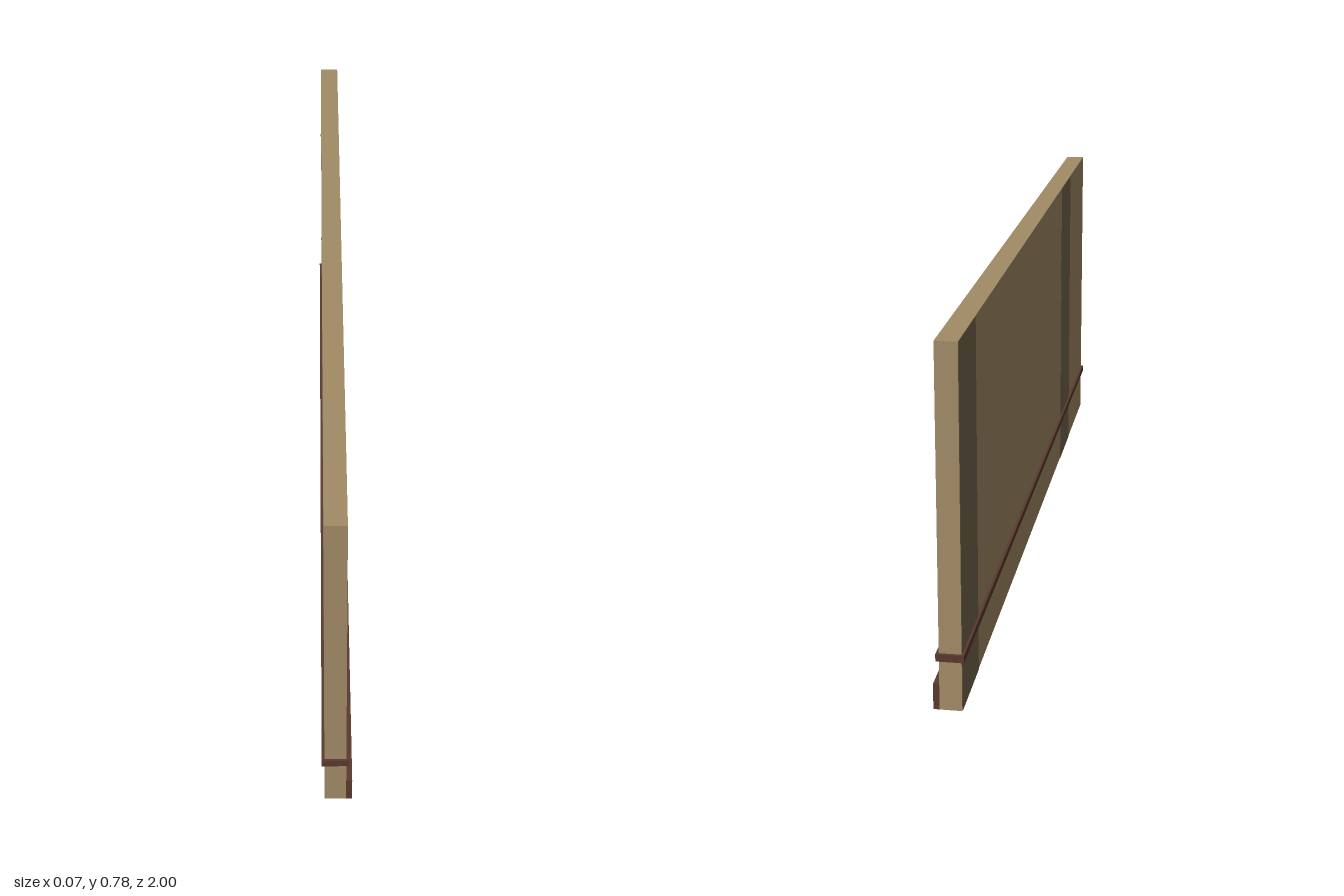
import * as THREE from 'three';

const HEIGHT = 0.783;
const BACK = -0.028, FACE = 0.019, END = 0.994;

export function createModel() {
  const model = new THREE.Group();
  model.name = 'wallPanel';

  const mat = (name, color) => {
    const m = new THREE.MeshStandardMaterial({ color });
    m.name = name;
    return m;
  };
  const plaster = mat('tan plaster', 0xa38c67);
  const stain = mat('dark stained plaster', 0x76654b);
  const wood = mat('dark brown wood', 0x5a392e);

  // Box given by its lower and upper limits, symmetric in z
  function slab(name, x0, x1, y0, y1, halfZ, material) {
    const mesh = new THREE.Mesh(new THREE.BoxGeometry(x1 - x0, y1 - y0, halfZ * 2), material);
    mesh.position.set((x0 + x1) / 2, (y0 + y1) / 2, 0);
    mesh.name = name;
    model.add(mesh);
  }

  slab('wall', BACK, FACE, 0, HEIGHT, END, plaster);
  slab('skirtingBoard', FACE, 0.032, 0, 0.057, END, wood);
  // The rail wraps right round the wall
  slab('wallRail', -0.034, 0.025, 0.111, 0.127, 1, wood);

  // Vertical stain: a thin upright face from z0 to z1, with a small notch in the z0 edge
  function stainBand(name, side, z0, z1, y0, notchY, notchDepth) {
    const s = new THREE.Shape();
    s.moveTo(z0, y0);
    s.lineTo(z1, y0);
    s.lineTo(z1, HEIGHT);
    s.lineTo(z0, HEIGHT);
    s.lineTo(z0, notchY + 0.03);
    s.lineTo(z0 + notchDepth, notchY + 0.02);
    s.lineTo(z0 + notchDepth, notchY - 0.03);
    s.lineTo(z0, notchY - 0.03);
    const geometry = new THREE.ShapeGeometry(s);
    // Shape x runs along world z on the back, and along -z on the face
    geometry.rotateY(side > 0 ? Math.PI / 2 : -Math.PI / 2);
    const mesh = new THREE.Mesh(geometry, stain);
    mesh.position.x = side > 0 ? FACE + 0.001 : BACK - 0.001;
    mesh.name = name;
    model.add(mesh);
  }

  stainBand('faceStain', 1, 0, 0.185, 0.057, 0.25, -0.006);
  stainBand('backStainEnd', -1, -END, -0.81, 0, 0.5, 0);
  stainBand('backStainMiddle', -1, 0.505, 0.69, 0, 0.56, -0.008);

  return model;
}
